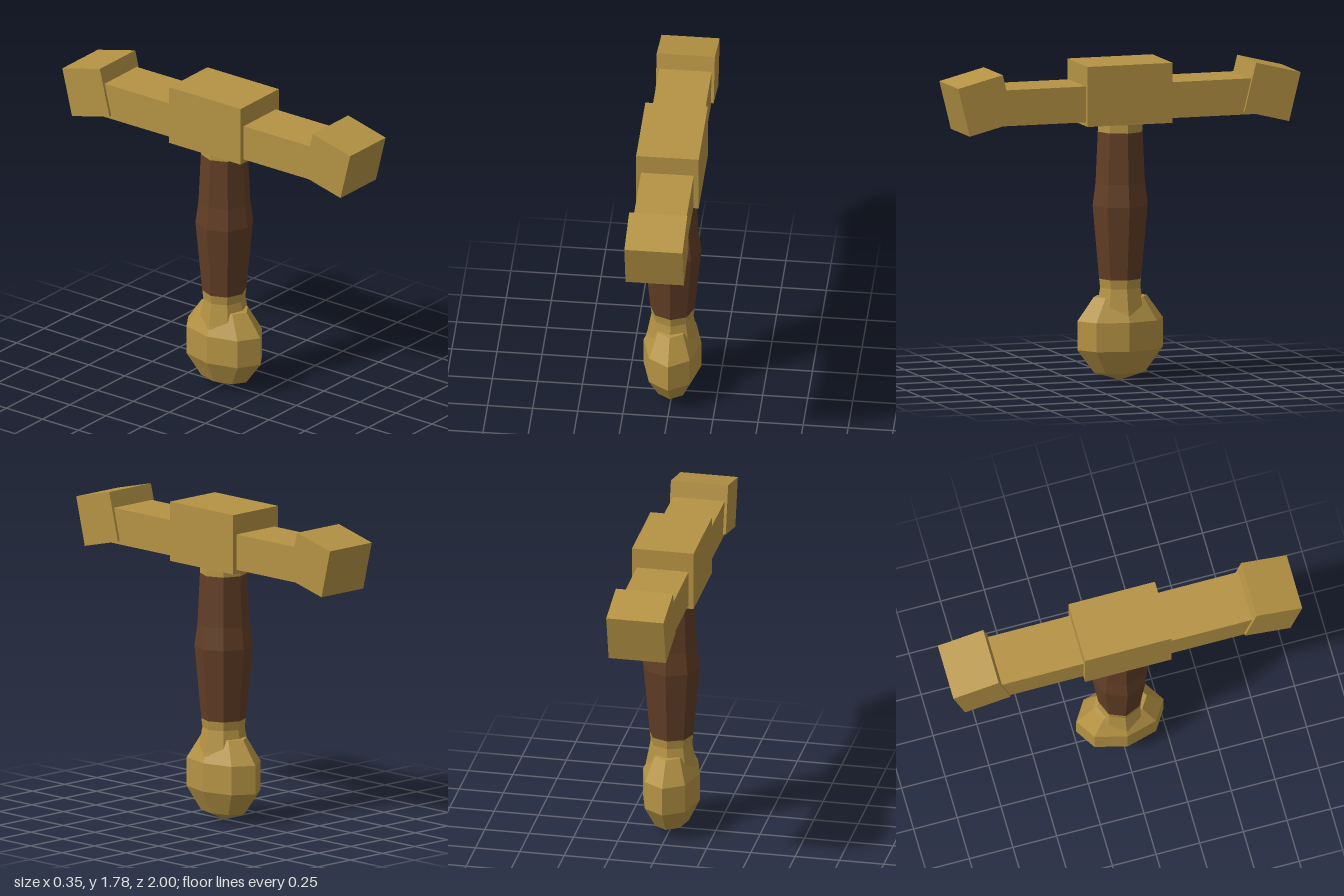
import * as THREE from 'three';

const gold = new THREE.MeshStandardMaterial({ color: 0xb59344 });
gold.name = 'gold';
const leather = new THREE.MeshStandardMaterial({ color: 0x623e26 });
leather.name = 'brown leather';

// Eight-sided faceted turning, profile listed from bottom to top as [radius, y]
function turned(name, profile, material, scaleX = 1) {
  const points = profile.map(([r, y]) => new THREE.Vector2(r, y));
  const geometry = new THREE.LatheGeometry(points, 8).toNonIndexed();
  geometry.scale(scaleX, 1, 1);
  geometry.computeVertexNormals();
  const mesh = new THREE.Mesh(geometry, material);
  mesh.name = name;
  return mesh;
}

function block(name, w, h, d, y, z, tilt = 0) {
  const mesh = new THREE.Mesh(new THREE.BoxGeometry(w, h, d), gold);
  mesh.name = name;
  mesh.position.set(-0.003, y, z);
  mesh.rotation.x = tilt;
  return mesh;
}

export function createModel() {
  const hilt = new THREE.Group();
  hilt.name = 'swordHilt';

  // Pommel, flattened across x
  hilt.add(turned('pommel', [
    [0, 0.005], [0.152, 0.052], [0.25, 0.182], [0.25, 0.343], [0.155, 0.473], [0, 0.49],
  ], gold, 0.64));

  // Grip between two metal collars
  hilt.add(turned('lowerCollar', [[0.145, 0.38], [0.14, 0.4], [0.117, 0.525], [0.123, 0.575]], gold));
  hilt.add(turned('grip', [[0.123, 0.575], [0.161, 0.985], [0.144, 1.11], [0.131, 1.395]], leather));
  hilt.add(turned('upperCollar', [[0.131, 1.395], [0.128, 1.46]], gold));

  // Cross-guard
  hilt.add(block('guardCentre', 0.347, 0.335, 0.496, 1.617, 0));
  for (const side of [1, -1]) {
    const end = side > 0 ? 'front' : 'back';
    hilt.add(block(end + 'GuardArm', 0.292, 0.2, 0.52, 1.572, side * 0.48));
    hilt.add(block(end + 'GuardEnd', 0.323, 0.278, 0.268, 1.593, side * 0.835, side * 0.245));
  }
  return hilt;
}
